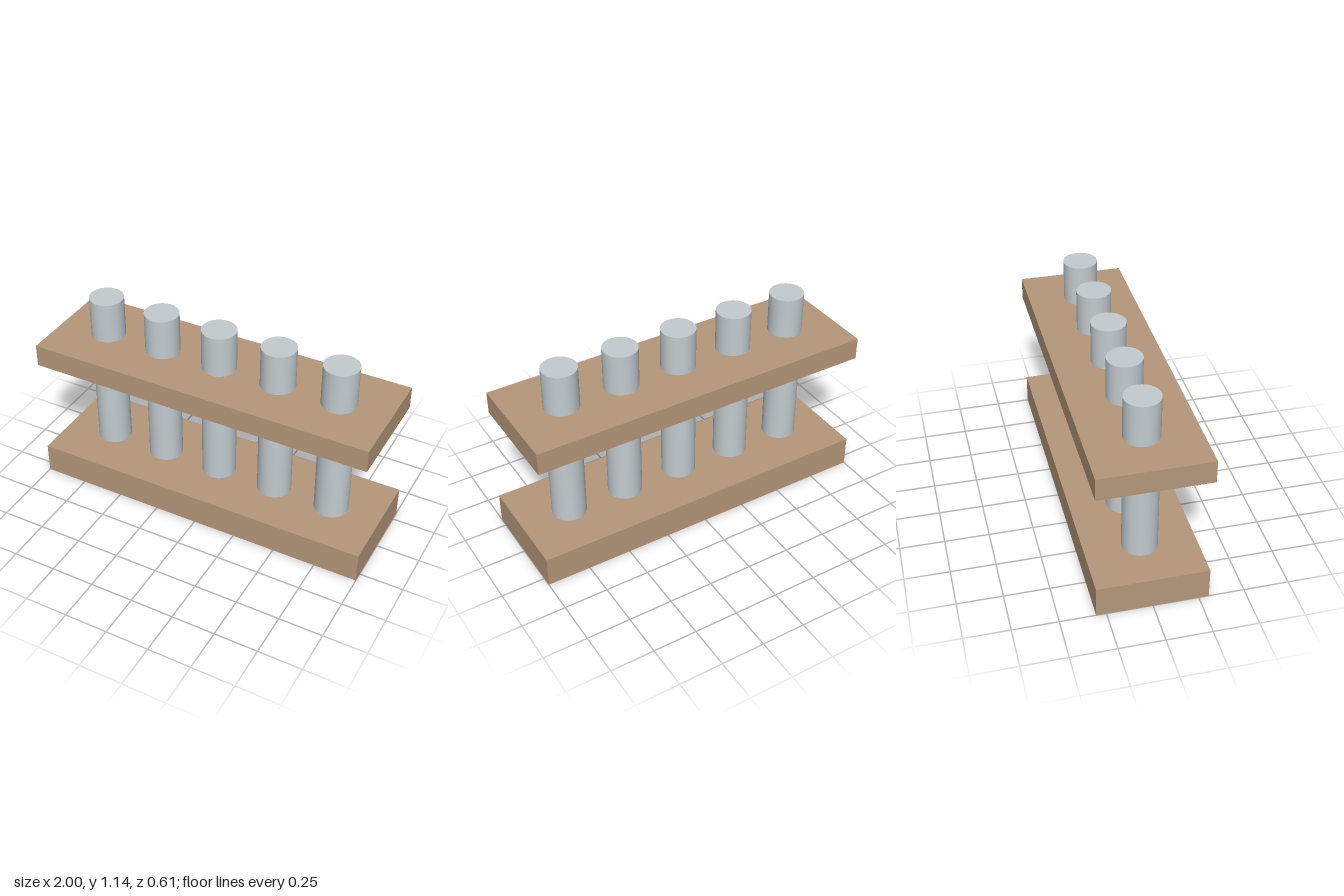
import * as THREE from 'three';

const WIDTH = 2, DEPTH = 0.61;
const TUBE_RADIUS = 0.098, TUBE_TOP = 1.14, TUBE_SPACING = 0.355, TUBE_COUNT = 5;

export function createModel() {
  const group = new THREE.Group();
  group.name = 'tubeRack';

  const wood = new THREE.MeshStandardMaterial({ color: 0xb6987b });
  wood.name = 'wood';
  const glass = new THREE.MeshStandardMaterial({ color: 0xc3ccd0 });
  glass.name = 'paleGrey';

  // Horizontal boards, given by their bottom and top heights
  const addBoard = (name, bottom, top) => {
    const board = new THREE.Mesh(new THREE.BoxGeometry(WIDTH, top - bottom, DEPTH), wood);
    board.name = name;
    board.position.y = (bottom + top) / 2;
    group.add(board);
  };
  addBoard('baseBoard', 0, 0.18);
  addBoard('upperBoard', 0.77, 0.9);

  // Row of upright tubes, seated in the base and passing through the upper board
  const seat = 0.1;
  const tubeGeometry = new THREE.CylinderGeometry(TUBE_RADIUS, TUBE_RADIUS, TUBE_TOP - seat, 48);
  for (let i = 0; i < TUBE_COUNT; i++) {
    const tube = new THREE.Mesh(tubeGeometry, glass);
    tube.name = `tube${i + 1}`;
    tube.position.set((i - (TUBE_COUNT - 1) / 2) * TUBE_SPACING, (TUBE_TOP + seat) / 2, 0);
    group.add(tube);
  }

  return group;
}
